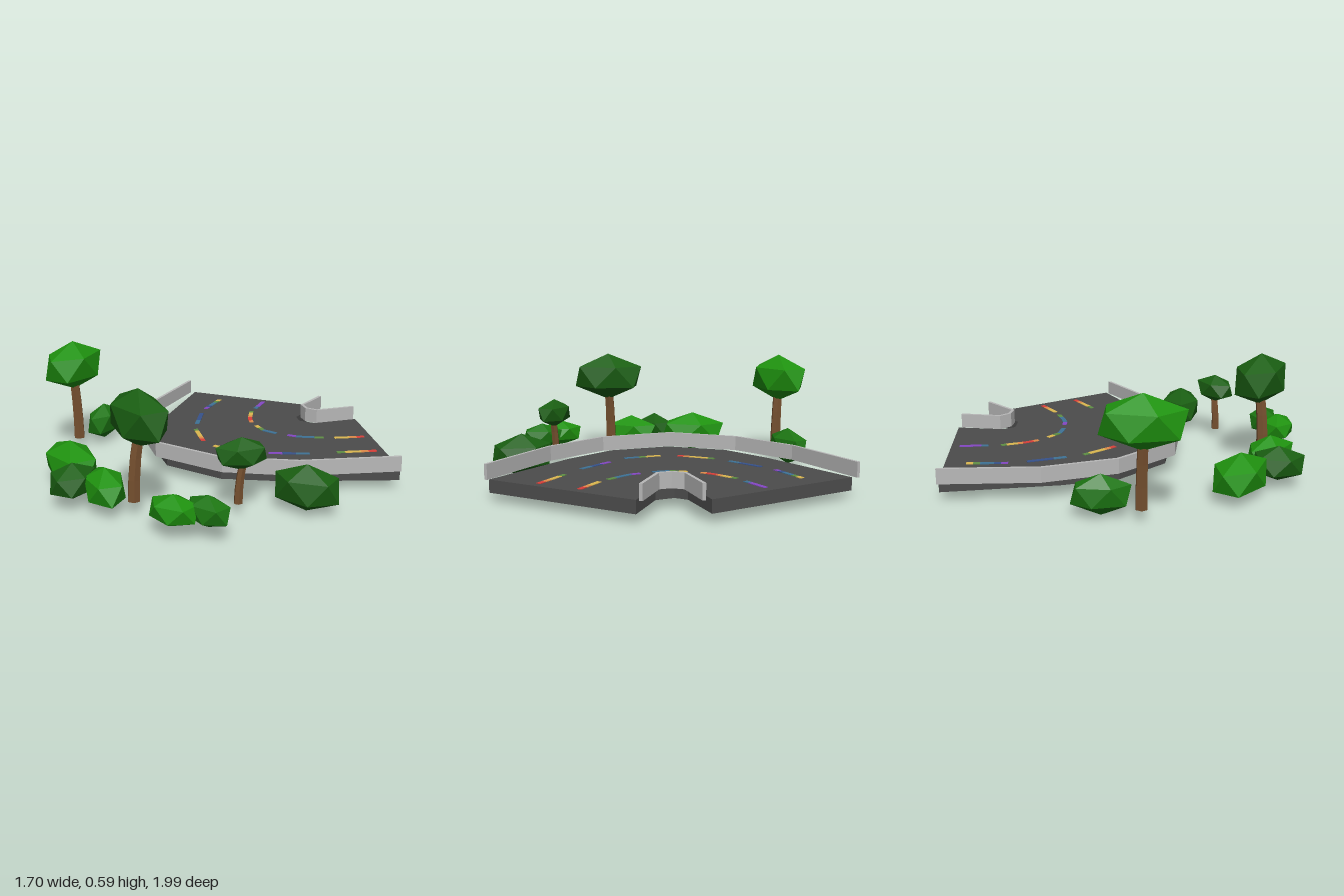
import * as THREE from 'three';

const mat = (color) => new THREE.MeshStandardMaterial({ color, flatShading: true });
const rainbow = {
  r: mat(0xd9403a), o: mat(0xe08a4a), y: mat(0xdcb850), g: mat(0x5f8f45),
  b: mat(0x3f7396), i: mat(0x37528a), p: mat(0x8548c4),
};
const asphalt = mat(0x4c4c4c), railGrey = mat(0xb8b8b8), bark = mat(0x76502f);
const brightGreen = mat(0x1f920f), midGreen = mat(0x1c7512), darkGreen = mat(0x1a5f12);

function addMesh(parent, name, geometry, material) {
  const mesh = new THREE.Mesh(geometry, material);
  mesh.name = name;
  parent.add(mesh);
  return mesh;
}

// Extrude an (x, z) outline vertically between two heights
function slab(points, y0, y1) {
  const geo = new THREE.ExtrudeGeometry(new THREE.Shape(points), { depth: y1 - y0, bevelEnabled: false });
  return geo.rotateX(Math.PI / 2).translate(0, y1, 0);
}

const toPoints = (list) => list.map(([x, z]) => new THREE.Vector2(x, z));

// Outline of a strip of constant width along a polyline, with mitred corners
function strip(path, width) {
  const left = [], right = [];
  path.forEach((p, k) => {
    const before = p.clone().sub(path[Math.max(k - 1, 0)]).normalize();
    const after = path[Math.min(k + 1, path.length - 1)].clone().sub(p).normalize();
    const dir = before.clone().add(after).normalize();
    const edge = k === 0 ? after : before;
    const n = new THREE.Vector2(-dir.y, dir.x).multiplyScalar(width / 2 / dir.dot(edge));
    left.push(p.clone().add(n));
    right.unshift(p.clone().sub(n));
  });
  return [...left, ...right];
}

// Lane mark: a row of coloured pieces along a short polyline
function laneMark(parent, path, colors) {
  const group = new THREE.Group();
  group.name = 'laneMark';
  const pts = toPoints(path);
  const curve = new THREE.CurvePath();
  for (let k = 1; k < pts.length; k++) curve.add(new THREE.LineCurve(pts[k - 1], pts[k]));
  [...colors].forEach((c, k) => {
    const piece = [curve.getPoint(k / colors.length), curve.getPoint((k + 1) / colors.length)];
    addMesh(group, 'laneMarkPiece', slab(strip(piece, 0.024), 0.104, 0.108), rainbow[c]);
  });
  parent.add(group);
}

// Stretched icosahedron with a corner pointing up; (dx, dz) is its long direction
function foliage(parent, name, { x, z, y0, y1, a, b, dx, dz }, material) {
  const geo = new THREE.IcosahedronGeometry(1, 0).rotateZ(Math.atan2(0.5257, 0.8507));
  geo.scale(a / 0.88, (y1 - y0) / 2, b / 0.88).rotateY(Math.atan2(-dz, dx));
  addMesh(parent, name, geo, material).position.set(x, (y0 + y1) / 2, z);
}

// Six-sided trunk leaning from its foot to its top, with a slight bow
function trunk(parent, foot, top, radius) {
  const h = top[1] - foot[1];
  const geo = new THREE.CylinderGeometry(radius * 0.85, radius, h, 6, 3).translate(0, h / 2, 0);
  const pos = geo.attributes.position;
  for (let k = 0; k < pos.count; k++) {
    const t = pos.getY(k) / h;
    pos.setX(k, pos.getX(k) + (top[0] - foot[0]) * t * t);
    pos.setZ(k, pos.getZ(k) + (top[2] - foot[2]) * t);
  }
  geo.computeVertexNormals();
  addMesh(parent, 'trunk', geo, bark).position.set(...foot);
}

export function createModel() {
  const model = new THREE.Group();
  model.name = 'roadBend';

  // Road slab
  const road = toPoints([
    [0.01, -0.975], [0.69, -0.585], [0.53, -0.39], [0.53, -0.32], [0.605, -0.265], [0.85, -0.31],
    [0.85, 0.472], [0.295, 0.42], [0, 0.35], [-0.245, 0.135], [-0.305, -0.18], [-0.22, -0.455],
  ]);
  addMesh(model, 'road', slab(road, 0.043, 0.105), asphalt);

  // Guard rails on both sides of the bend
  const rails = {
    outerRail: [[-0.02, -0.996], [-0.262, -0.583], [-0.357, -0.222], [-0.294, 0.15], [0, 0.403], [0.352, 0.495], [0.845, 0.495]],
    innerRail: [[0.705, -0.556], [0.563, -0.395], [0.573, -0.33], [0.622, -0.287], [0.84, -0.328]],
  };
  for (const [name, path] of Object.entries(rails)) {
    addMesh(model, name, slab(strip(toPoints(path), 0.016), 0.1, 0.175), railGrey);
  }

  // Rainbow lane marks: outer lane, then inner lane
  const marks = [
    [[[0.14, -0.78], [0.035, -0.605]], 'ygbbip'],
    [[[0.003, -0.52], [-0.045, -0.325]], 'iib'],
    [[[-0.062, -0.235], [-0.042, -0.035]], 'gyyyor'],
    [[[0.003, 0.047], [0.15, 0.175]], 'yygbb'],
    [[[0.262, 0.19], [0.465, 0.225]], 'pib'],
    [[[0.605, 0.222], [0.81, 0.222]], 'gyyor'],
    [[[0.395, -0.705], [0.325, -0.575]], 'pppb'],
    [[[0.293, -0.52], [0.262, -0.39], [0.26, -0.32]], 'gyyorro'],
    [[[0.275, -0.255], [0.3, -0.17], [0.36, -0.11]], 'ygbb'],
    [[[0.415, -0.075], [0.465, -0.04], [0.595, -0.01]], 'pbbg'],
    [[[0.65, 0], [0.81, 0]], 'yyor'],
  ];
  marks.forEach(([path, colors]) => laneMark(model, path, colors));

  // Trees
  const trees = [
    { foot: [-0.69, 0.06, -0.315], top: [-0.705, 0.38, -0.32], radius: 0.03, material: brightGreen,
      crown: { x: -0.705, z: -0.322, y0: 0.335, y1: 0.593, a: 0.19, b: 0.115, dx: 0.55, dz: -0.83 } },
    { foot: [-0.427, 0.065, 0.62], top: [-0.4, 0.37, 0.615], radius: 0.031, material: darkGreen,
      crown: { x: -0.397, z: 0.615, y0: 0.32, y1: 0.584, a: 0.19, b: 0.11, dx: 0.4, dz: 0.92 } },
    { foot: [0.034, 0.057, 0.685], top: [0.055, 0.25, 0.685], radius: 0.021, material: darkGreen,
      crown: { x: 0.046, z: 0.683, y0: 0.215, y1: 0.366, a: 0.115, b: 0.072, dx: 1, dz: -0.1 } },
  ];
  for (const { foot, top, radius, crown, material } of trees) {
    const tree = new THREE.Group();
    tree.name = 'tree';
    trunk(tree, foot, top, radius);
    foliage(tree, 'crown', crown, material);
    model.add(tree);
  }

  // Bushes
  const bushes = [
    [{ x: -0.555, z: -0.442, y0: 0.012, y1: 0.208, a: 0.135, b: 0.065, dx: 0.5, dz: -0.87 }, midGreen],
    [{ x: -0.715, z: 0.225, y0: 0.003, y1: 0.225, a: 0.18, b: 0.11, dx: 0.4, dz: 0.9 }, brightGreen],
    [{ x: -0.7, z: 0.478, y0: 0.03, y1: 0.205, a: 0.125, b: 0.095, dx: 0.5, dz: -0.85 }, darkGreen],
    [{ x: -0.555, z: 0.555, y0: 0.012, y1: 0.205, a: 0.147, b: 0.088, dx: 0.2, dz: 0.98 }, brightGreen],
    [{ x: -0.27, z: 0.868, y0: 0.045, y1: 0.19, a: 0.115, b: 0.083, dx: 0.7, dz: 0.7 }, brightGreen],
    [{ x: -0.125, z: 0.895, y0: 0.045, y1: 0.19, a: 0.11, b: 0.07, dx: 0.6, dz: 0.8 }, midGreen],
    [{ x: 0.347, z: 0.675, y0: 0, y1: 0.223, a: 0.155, b: 0.102, dx: 0.8, dz: 0.6 }, darkGreen],
  ];
  bushes.forEach(([shape, material]) => foliage(model, 'bush', shape, material));

  return model;
}
